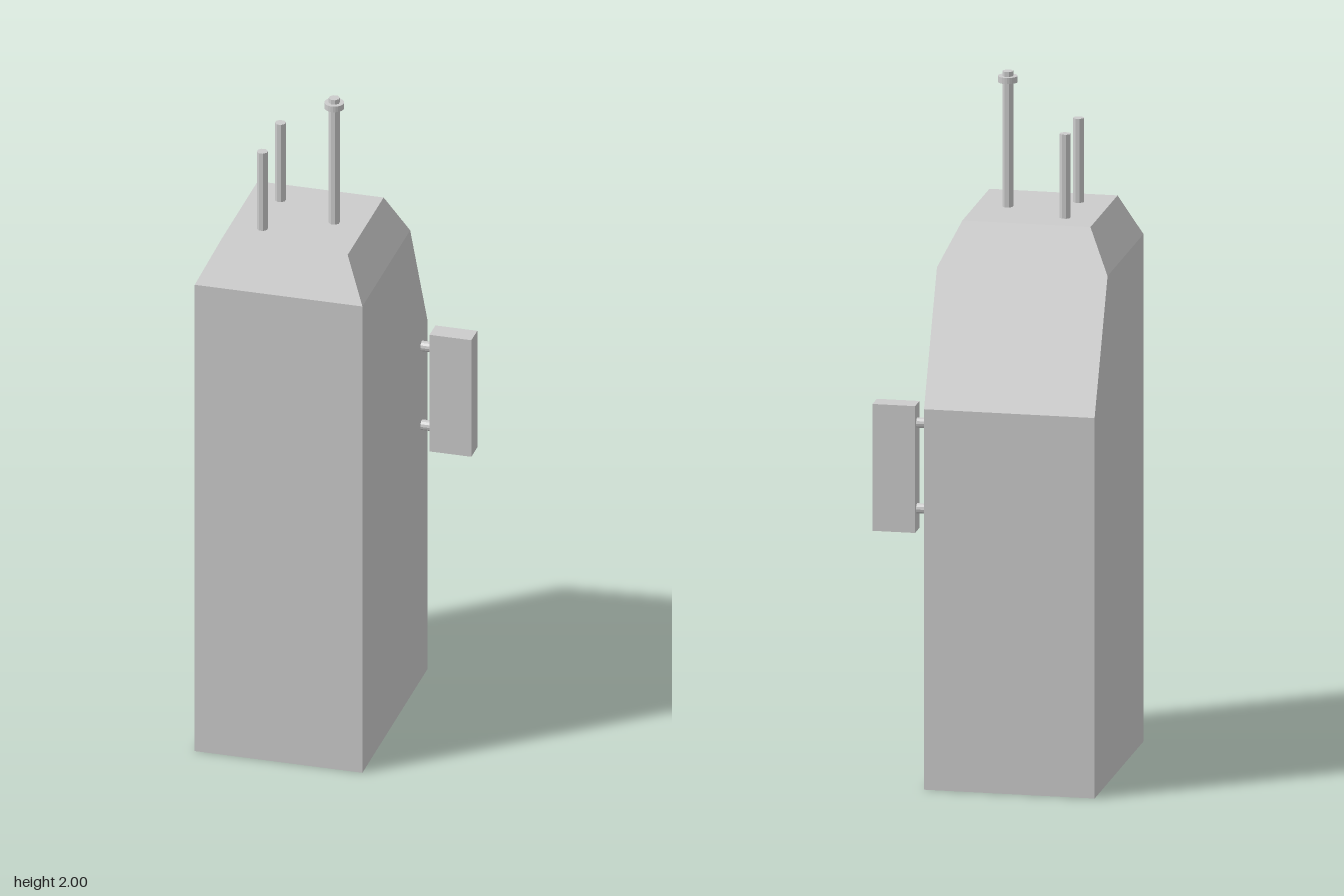
import * as THREE from 'three';
import { ConvexGeometry } from 'three/addons/geometries/ConvexGeometry.js';

const material = new THREE.MeshStandardMaterial({ color: 0xcccccc, flatShading: true });

export function createModel() {
  const model = new THREE.Group();
  const add = (name, geometry, x = 0, y = 0, z = 0) => {
    const mesh = new THREE.Mesh(geometry, material);
    mesh.name = name;
    mesh.position.set(x, y, z);
    model.add(mesh);
    return mesh;
  };
  // upright cylinder standing on a given height
  const post = (name, r, x, y0, y1, z, sides = 8) => {
    const geometry = new THREE.CylinderGeometry(r, r, y1 - y0, sides).rotateY(Math.PI / sides);
    return add(name, geometry, x, (y0 + y1) / 2, z);
  };

  // Cabinet: box with chamfered top edges and a long sloping back
  const top = 1.605, shoulder = 1.48, backTop = 1.11;
  const slopeZ = (y) => -0.098 - (0.237 * (top - y)) / (top - backTop);
  const corners = [];
  const level = (y, x0, x1, zBack, zFront) => {
    for (const x of [x0, x1]) for (const z of [zBack, zFront]) corners.push(new THREE.Vector3(x, y, z));
  };
  level(0, -0.325, 0.168, -0.335, 0.335);
  level(backTop, -0.325, 0.168, -0.335, 0.335);
  level(shoulder, -0.325, 0.168, slopeZ(shoulder), 0.335);
  level(top, -0.263, 0.107, slopeZ(top), 0.273);
  add('cabinet', new ConvexGeometry(corners));

  // Rods on the roof, the tall one with a collar near its tip
  post('shortRodBack', 0.016, -0.17, top, 1.85, -0.005);
  post('shortRodFront', 0.016, -0.17, top, 1.85, 0.181);
  post('tallRod', 0.016, 0.015, top, 2, 0.088);
  post('tallRodCollar', 0.028, 0.015, 1.968, 1.986, 0.088, 24);

  // Side box held by two round brackets
  add('sideBox', new THREE.BoxGeometry(0.123, 0.37, 0.061), 0.2615, 0.925, -0.2755);
  for (const y of [0.805, 1.055]) {
    add('bracket', new THREE.CylinderGeometry(0.015, 0.015, 0.032, 12).rotateZ(Math.PI / 2), 0.184, y, -0.277);
  }
  return model;
}
